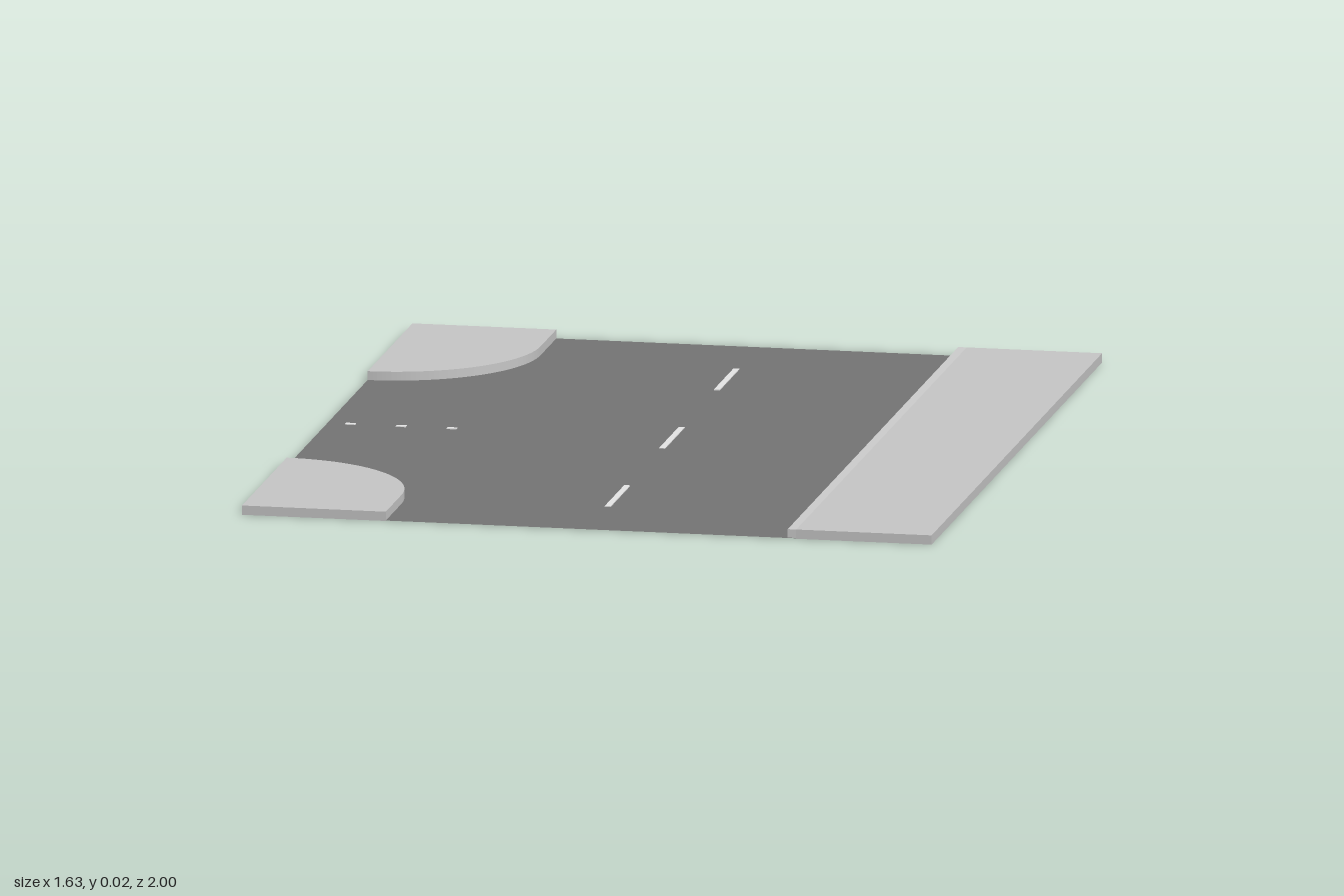
import * as THREE from 'three';

const mat = (name, color, side = THREE.FrontSide) => {
  const m = new THREE.MeshStandardMaterial({ color, side });
  m.name = name;
  return m;
};

const HEIGHT = 0.022;   // pavement height
const EDGE = 0.815;     // half width of the tile
const LANE = 0.475;     // half width of each road
const CURB = 0.02;      // curb width
const R = EDGE - LANE;  // corner radius

export function createModel() {
  const group = new THREE.Group();
  const asphalt = mat('asphalt', 0x757575, THREE.DoubleSide);
  const concrete = mat('concrete', 0xc8c8c8);
  const curbStone = mat('curb stone', 0xcecece);
  const paint = mat('white paint', 0xf0f0f0);

  const add = (name, geometry, material, x = 0, y = 0, z = 0) => {
    const mesh = new THREE.Mesh(geometry, material);
    mesh.name = name;
    mesh.position.set(x, y, z);
    group.add(mesh);
  };
  // Lays a flat shape on the ground and raises it
  const slab = (shape, depth) =>
    new THREE.ExtrudeGeometry(shape, { depth, bevelEnabled: false, curveSegments: 24 }).rotateX(-Math.PI / 2);

  // T-shaped road with rounded inner corners
  const road = new THREE.Shape();
  road.moveTo(LANE + CURB, -1);
  road.lineTo(LANE + CURB, 1);
  road.lineTo(-LANE, 1);
  road.lineTo(-LANE, EDGE);
  road.absarc(-EDGE, EDGE, R, 0, -Math.PI / 2, true);
  road.lineTo(-EDGE, -LANE);
  road.absarc(-EDGE, -EDGE, R, Math.PI / 2, 0, true);
  road.lineTo(-LANE, -1);
  add('road', new THREE.ShapeGeometry(road, 24).rotateX(-Math.PI / 2), asphalt, 0, 0.001, 0);

  // Straight pavement with its curb
  const inner = LANE + CURB;
  add('straightPavement', new THREE.BoxGeometry(EDGE - inner, HEIGHT, 2), concrete, (EDGE + inner) / 2, HEIGHT / 2);
  add('straightCurb', new THREE.BoxGeometry(CURB, HEIGHT - 0.002, 2), curbStone, LANE + CURB / 2, HEIGHT / 2 + 0.001);

  // Rounded corner pavements, mirrored front to back
  for (const s of [1, -1]) {
    const corner = new THREE.Shape();
    corner.moveTo(-EDGE, s);
    corner.lineTo(-LANE, s);
    corner.lineTo(-LANE, s * EDGE);
    corner.absarc(-EDGE, s * EDGE, R, 0, -s * Math.PI / 2, s > 0);
    add(s > 0 ? 'backCornerPavement' : 'frontCornerPavement', slab(corner, HEIGHT), concrete);
  }

  // Dashed lane lines
  const dash = (name, w, d, x, z) => add(name, new THREE.BoxGeometry(w, 0.002, d), paint, x, 0.002, z);
  for (const z of [-0.64, 0, 0.64]) dash('mainRoadDash', 0.014, 0.23, 0, z);
  for (const x of [-0.76, -0.64, -0.52]) dash('sideRoadDash', 0.024, 0.014, x, 0);

  return group;
}
